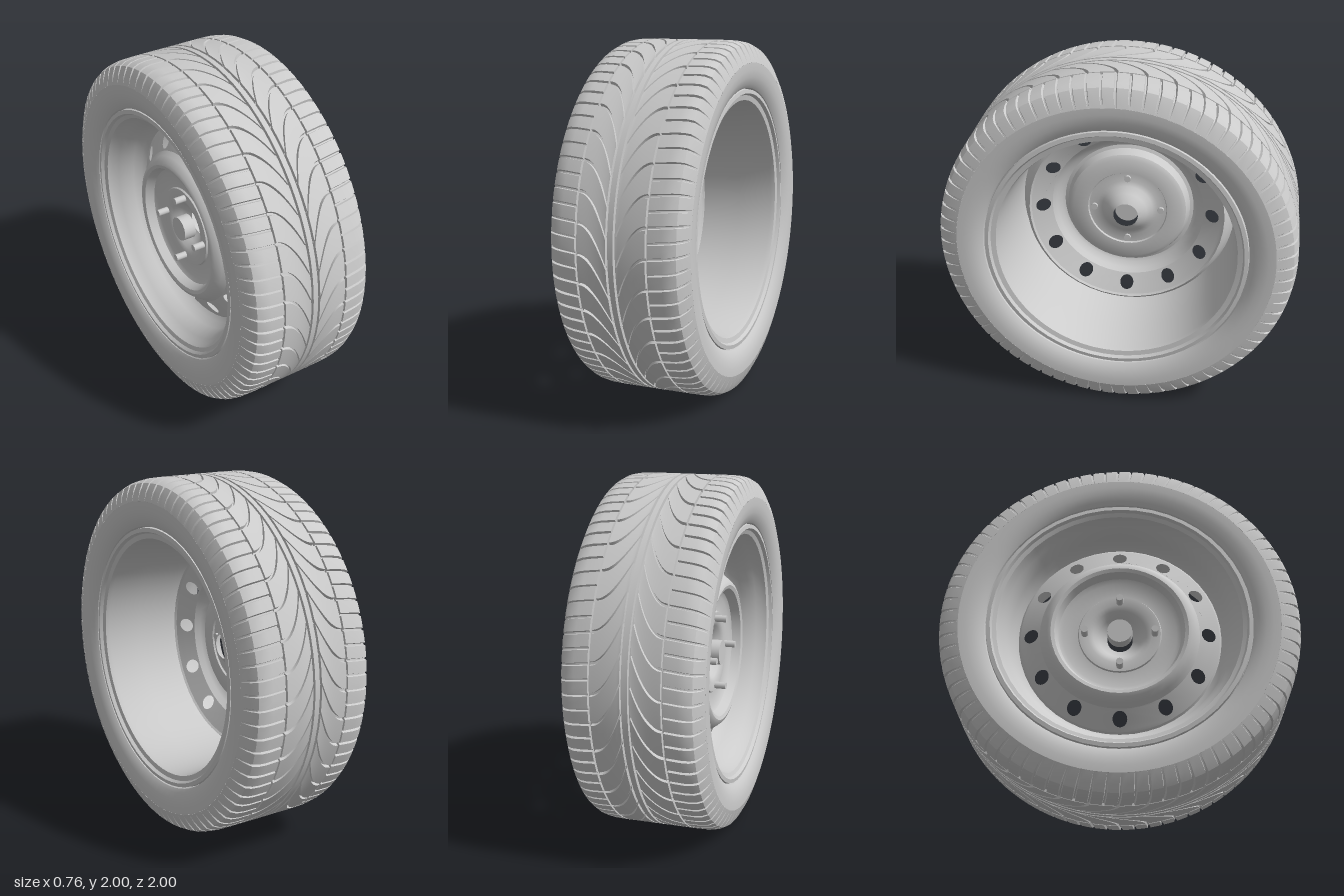
import * as THREE from 'three';
import { toCreasedNormals } from 'three/addons/utils/BufferGeometryUtils.js';

const grey = new THREE.MeshStandardMaterial({ color: 0xcccccc, side: THREE.DoubleSide });

function add(parent, name, geometry) {
  const mesh = new THREE.Mesh(geometry, grey);
  mesh.name = name;
  parent.add(mesh);
  return mesh;
}

// Surface of revolution around the x axis from [radius, x] pairs
function spin(points, segments = 64, crease = 0.6) {
  const geo = new THREE.LatheGeometry(points.map(([r, x]) => new THREE.Vector2(r, x)), segments);
  geo.rotateZ(-Math.PI / 2);
  return toCreasedNormals(geo, crease);
}

// Band of tread cut by repeated lateral grooves.
// rows: [x, radius, groove depth]; phase(u) bends the grooves across the band
function treadBand(rows, side, count, width, phase) {
  const pitch = (Math.PI * 2) / count;
  const steps = [[0, 0], [0.004, 1], [width, 1], [width + 0.004, 0], [(width + pitch) / 2, 0]];
  const cols = count * steps.length;
  const x0 = rows[0][0], x1 = rows[rows.length - 1][0];
  const pos = [], index = [];
  rows.forEach(([x, r, depth], i) => {
    const shift = phase((x - x0) / (x1 - x0));
    for (let j = 0; j <= cols; j++) {
      const [t, down] = steps[j % steps.length];
      const a = Math.floor(j / steps.length) * pitch + t + shift;
      const R = r - down * depth;
      pos.push(side * x, R * Math.cos(a), R * Math.sin(a));
      if (i === 0 || j === 0) continue;
      const d = i * (cols + 1) + j, c = d - 1, b = d - cols - 1, e = b - 1;
      if (side > 0) index.push(e, b, c, b, d, c);
      else index.push(e, c, b, b, c, d);
    }
  });
  const geo = new THREE.BufferGeometry();
  geo.setAttribute('position', new THREE.Float32BufferAttribute(pos, 3));
  geo.setIndex(index);
  return toCreasedNormals(geo, 0.5);
}

function makeTyre() {
  const tyre = new THREE.Group();
  tyre.name = 'tyre';
  // Floor of the grooves that run around the tyre
  add(tyre, 'grooveFloor', spin([[0.976, -0.22], [0.976, 0.22]]));
  add(tyre, 'centreRib', spin([[0.975, -0.014], [1, -0.014], [1, 0.014], [0.975, 0.014]], 80));

  // Curved blocks between the centre and the outer grooves
  const inner = [[0.027, 0.976, 0]];
  for (let i = 0; i <= 10; i++) inner.push([0.0271 + 0.0158 * i, 1, 0.018]);
  inner.push([0.1852, 0.976, 0]);
  // Shoulder blocks, their cuts fading out on the sidewall
  const shoulder = [[0.196, 0.976, 0], [0.1961, 1, 0.012], [0.27, 0.998, 0.014], [0.31, 0.991, 0.014],
    [0.34, 0.975, 0.014], [0.362, 0.935, 0.008], [0.38, 0.88, 0]];
  const wall = [[0.88, 0.38], [0.84, 0.38], [0.8, 0.374], [0.76, 0.36], [0.74, 0.345], [0.735, 0.32]];

  for (const side of [1, -1]) {
    const name = side > 0 ? 'left' : 'right';
    add(tyre, name + 'InnerTread', treadBand(inner, side, 40, 0.016, (u) => 0.22 * (1 - u) ** 2));
    add(tyre, name + 'ShoulderTread', treadBand(shoulder, side, 80, 0.012, (u) => -0.02 * u));
    const profile = wall.map(([r, x]) => [r, side * x]);
    add(tyre, name + 'Sidewall', spin(side > 0 ? profile.reverse() : profile, 80));
  }
  return tyre;
}

// Sloping ring of the wheel disc with twelve round vents
function ventRing(rIn, xIn, rOut, xOut) {
  const shape = new THREE.Shape().absarc(0, 0, rOut, 0, Math.PI * 2, false);
  shape.holes.push(new THREE.Path().absarc(0, 0, rIn, 0, Math.PI * 2, true));
  for (let i = 0; i < 12; i++) {
    const a = (i * Math.PI) / 6;
    shape.holes.push(new THREE.Path().absarc(0.5 * Math.cos(a), 0.5 * Math.sin(a), 0.04, 0, Math.PI * 2, true));
  }
  const geo = new THREE.ShapeGeometry(shape, 24);
  const p = geo.attributes.position, n = geo.attributes.normal;
  const slope = (xOut - xIn) / (rOut - rIn), len = Math.hypot(1, slope);
  for (let i = 0; i < p.count; i++) {
    const x = p.getX(i), y = p.getY(i), r = Math.hypot(x, y);
    p.setZ(i, xIn + (r - rIn) * slope);
    n.setXYZ(i, (-slope * x) / r / len, (-slope * y) / r / len, 1 / len);
  }
  return geo.rotateY(Math.PI / 2);
}

function makeWheel() {
  const wheel = new THREE.Group();
  wheel.name = 'wheel';
  // Deep barrel, open on the inner side
  add(wheel, 'barrel', spin([[0.735, 0.32], [0.732, 0.345], [0.71, 0.348], [0.7, 0.33], [0.672, 0.325],
    [0.665, 0.3], [0.65, 0.1], [0.635, -0.1], [0.63, -0.22]]));
  // Outer lip and dish leading in to the disc
  add(wheel, 'dish', spin([[0.735, -0.32], [0.732, -0.345], [0.71, -0.348], [0.7, -0.33], [0.678, -0.32],
    [0.668, -0.29], [0.65, -0.26], [0.63, -0.225], [0.615, -0.18], [0.598, -0.13], [0.575, -0.105], [0.565, -0.115]], 48));
  add(wheel, 'ventRing', ventRing(0.45, -0.175, 0.565, -0.115));
  // Pressed centre of the disc with a raised ring and a sunken hub
  add(wheel, 'discCentre', spin([[0.45, -0.175], [0.43, -0.205], [0.405, -0.235], [0.385, -0.242], [0.365, -0.235],
    [0.345, -0.185], [0.32, -0.17], [0.235, -0.17], [0.23, -0.18], [0.18, -0.18], [0.15, -0.168],
    [0.12, -0.13], [0.095, -0.105], [0.072, -0.09]], 48));

  const cap = new THREE.CylinderGeometry(0.07, 0.07, 0.07, 24).rotateZ(Math.PI / 2);
  add(wheel, 'hubCap', cap).position.x = -0.185;

  // Four wheel bolts
  const bolt = new THREE.CylinderGeometry(0.02, 0.02, 0.08, 12).rotateZ(Math.PI / 2);
  for (let i = 0; i < 4; i++) {
    const a = (i * Math.PI) / 2;
    add(wheel, 'bolt', bolt).position.set(-0.205, 0.197 * Math.cos(a), 0.197 * Math.sin(a));
  }
  return wheel;
}

export function createModel() {
  const model = new THREE.Group();
  model.name = 'carWheel';
  model.add(makeTyre(), makeWheel());
  model.children.forEach((part) => { part.position.y = 1; });
  return model;
}
